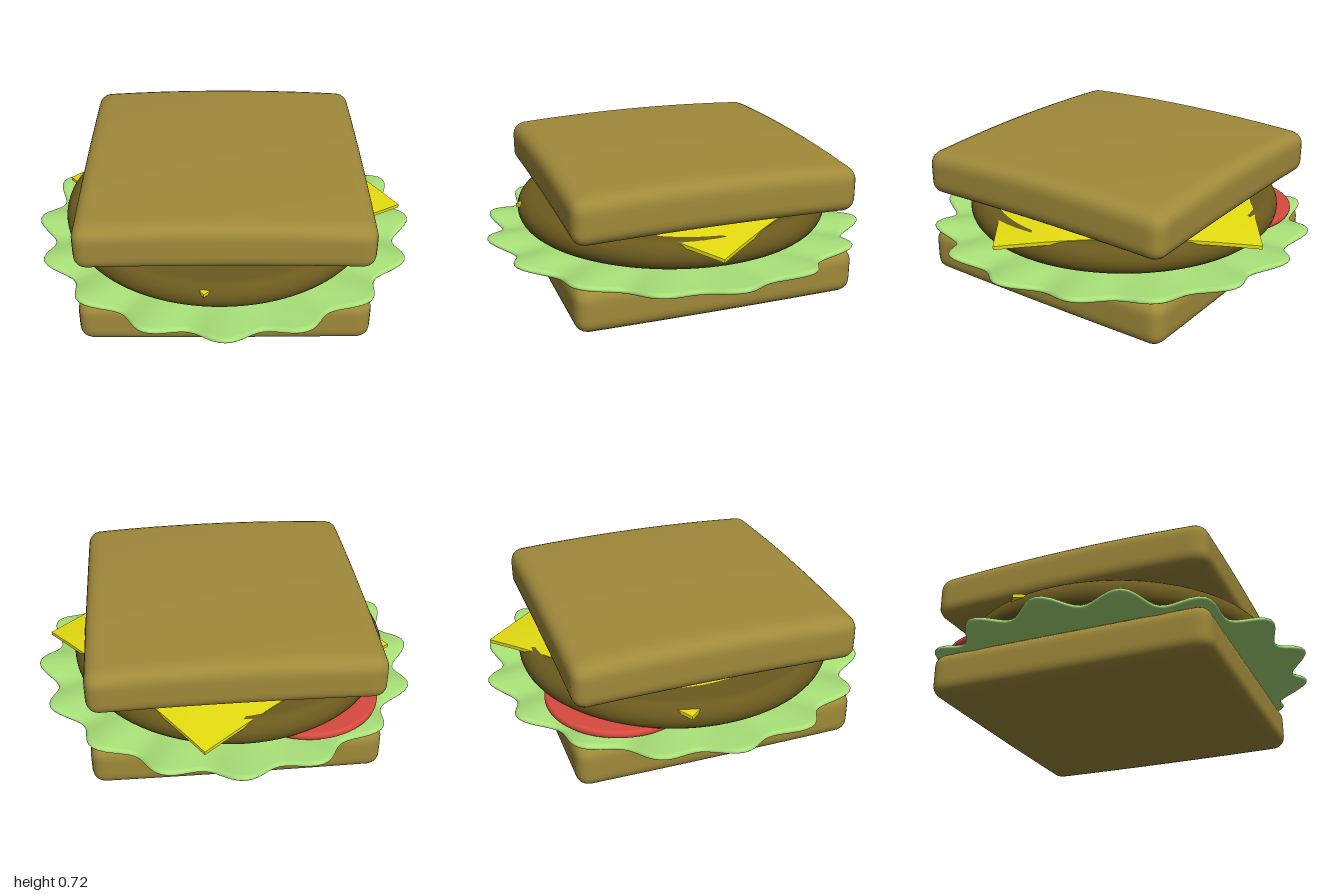
import * as THREE from 'three';
import { mergeVertices } from 'three/addons/utils/BufferGeometryUtils.js';

// Moves every vertex by a rule.
function deform(geo, rule) {
  const pos = geo.attributes.position;
  const p = new THREE.Vector3();
  for (let i = 0; i < pos.count; i++) {
    p.fromBufferAttribute(pos, i);
    rule(p);
    pos.setXYZ(i, p.x, p.y, p.z);
  }
  geo.computeVertexNormals();
  return geo;
}

// Welds the seams so that normals run smoothly across them.
function weld(geo) {
  geo.deleteAttribute('uv');
  geo.deleteAttribute('normal');
  return mergeVertices(geo, 1e-4);
}

// Square slice of bread with rounded edges; domeTop and domeBottom arch its faces.
function breadGeometry(size, height, radius, domeTop, domeBottom) {
  const inner = new THREE.Vector3(size / 2 - radius, height / 2 - radius, size / 2 - radius);
  const low = inner.clone().negate();
  const q = new THREE.Vector3();
  return deform(weld(new THREE.BoxGeometry(size, height, size, 48, 12, 48)), (p) => {
    q.copy(p).clamp(low, inner);
    p.sub(q).normalize().multiplyScalar(radius).add(q);
    const arch = 1 - (p.x ** 2 + p.z ** 2) / (size * size / 2);
    p.y += arch * THREE.MathUtils.lerp(domeBottom, domeTop, p.y / height + 0.5);
  });
}

// Round slice with rounded rim, centred on its own origin.
function discGeometry(radius, height, rimWidth, sides, rings = 1) {
  const pts = [];
  for (let i = 0; i < rings; i++) pts.push(new THREE.Vector2((radius - rimWidth) * i / rings, -height / 2));
  for (let i = 0; i <= 12; i++) {
    const a = -Math.PI / 2 + Math.PI * i / 12;
    pts.push(new THREE.Vector2(radius - rimWidth + rimWidth * Math.cos(a), height / 2 * Math.sin(a)));
  }
  for (let i = rings - 1; i >= 0; i--) pts.push(new THREE.Vector2((radius - rimWidth) * i / rings, height / 2));
  return new THREE.LatheGeometry(pts, sides);
}

export function createModel() {
  const group = new THREE.Group();
  const add = (name, geo, color, x, y, z) => {
    const mesh = new THREE.Mesh(geo, new THREE.MeshStandardMaterial({ color }));
    mesh.name = name;
    mesh.position.set(x, y, z);
    group.add(mesh);
    return mesh;
  };
  const bread = 0xa08a3a, red = 0xd84a40;

  // Bread
  add('bottomBread', breadGeometry(1.44, 0.23, 0.065, 0, -0.01), bread, 0, 0.125, 0);
  add('topBread', breadGeometry(1.44, 0.225, 0.065, 0.05, 0.02), bread, 0, 0.555, 0);

  // Lettuce leaf with sixteen ruffles
  const leaf = deform(weld(discGeometry(1, 0.028, 0.025, 192, 16)), (p) => {
    const k = THREE.MathUtils.smoothstep(Math.hypot(p.x, p.z), 0.6, 1);
    const wave = Math.cos(16 * Math.atan2(p.z, p.x));
    const s = 1 - k * 0.045 * (1 - wave);
    p.x *= s;
    p.z *= s;
    p.y += k * 0.014 * wave - k * 0.006;
  });
  add('lettuce', leaf, 0xa8e078, 0, 0.25, 0);

  // Tomato slices
  add('tomatoSliceFront', discGeometry(0.4, 0.035, 0.015, 64), red, 0.22, 0.272, 0.22);
  const back = add('tomatoSliceBack', discGeometry(0.37, 0.04, 0.015, 64), red, -0.37, 0.283, -0.41);
  back.rotation.x = 0.025;

  // Patty
  add('patty', discGeometry(0.82, 0.15, 0.07, 96), 0x6b5a1e, -0.02, 0.355, 0);

  // Cheese slice with drooping corners
  const cheese = new THREE.BoxGeometry(1.27, 0.018, 1.27, 28, 1, 28);
  cheese.rotateY(Math.PI / 5);
  deform(cheese, (p) => {
    p.y -= 0.15 * Math.max(0, Math.hypot(p.x, p.z) - 0.5);
  });
  add('cheese', cheese, 0xe4dc10, 0.04, 0.45, -0.06);

  return group;
}
